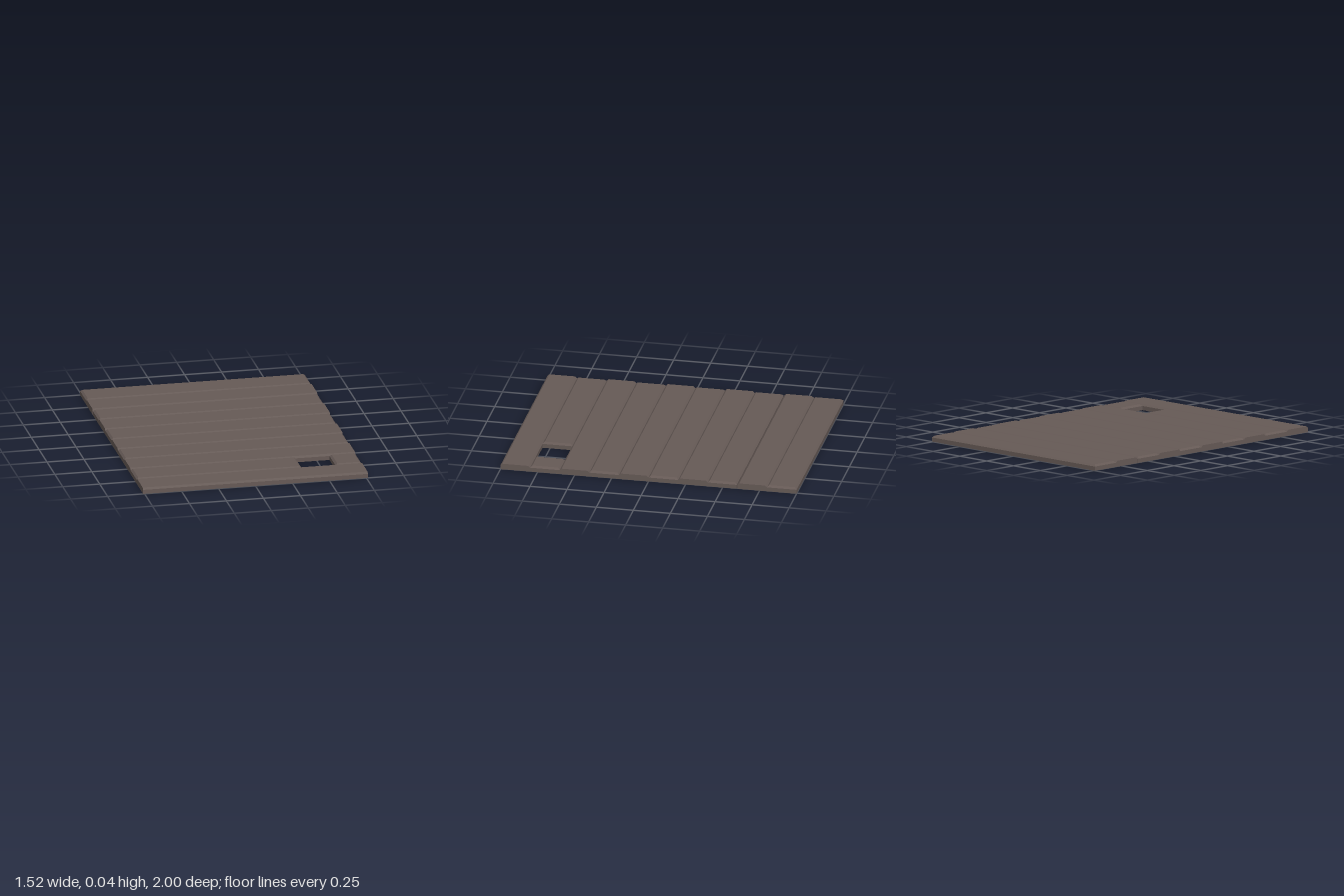
import * as THREE from 'three';

const HALF_WIDTH = 0.76, HEIGHT = 0.04, SHOULDER = 0.028, BEVEL = 0.013;
const COUNT = 10, PITCH = 2 / COUNT;
const HOLE = { row: 8, x0: 0.355, x1: 0.585 };

// Board with chamfered long edges, and chamfered ends if endBevel > 0
function boardGeometry(x0, x1, z0, z1, endBevel) {
  const w = x1 - x0, d = z1 - z0;
  const box = new THREE.BoxGeometry(w, HEIGHT, d, 1, 2, 1);
  const p = box.attributes.position;
  for (let i = 0; i < p.count; i++) {
    const y = p.getY(i);
    if (Math.abs(y) < 1e-6) {
      p.setY(i, SHOULDER - HEIGHT / 2);
    } else if (y > 0) {
      p.setX(i, Math.sign(p.getX(i)) * (w / 2 - endBevel));
      p.setZ(i, Math.sign(p.getZ(i)) * (d / 2 - BEVEL));
    }
  }
  const geometry = box.toNonIndexed();
  geometry.computeVertexNormals();
  geometry.translate((x0 + x1) / 2, HEIGHT / 2, (z0 + z1) / 2);
  return geometry;
}

export function createModel() {
  const group = new THREE.Group();
  group.name = 'plankFloor';
  const wood = new THREE.MeshStandardMaterial({ color: 0x665a56, flatShading: true });

  for (let i = 0; i < COUNT; i++) {
    // A narrow seam separates the second and third boards
    const z0 = -1 + i * PITCH + (i === 2 ? 0.004 : 0);
    const z1 = -1 + (i + 1) * PITCH;
    // Alternate boards have chamfered ends; one is split by the hatch opening
    const endBevel = i % 2 === 0 ? BEVEL : 0;
    const spans = i === HOLE.row
      ? [[-HALF_WIDTH, HOLE.x0], [HOLE.x1, HALF_WIDTH]]
      : [[-HALF_WIDTH, HALF_WIDTH]];
    spans.forEach(([x0, x1], k) => {
      const board = new THREE.Mesh(boardGeometry(x0, x1, z0, z1, endBevel), wood);
      board.name = spans.length > 1 ? `splitPlank${k + 1}` : `plank${i + 1}`;
      group.add(board);
    });
  }
  return group;
}
